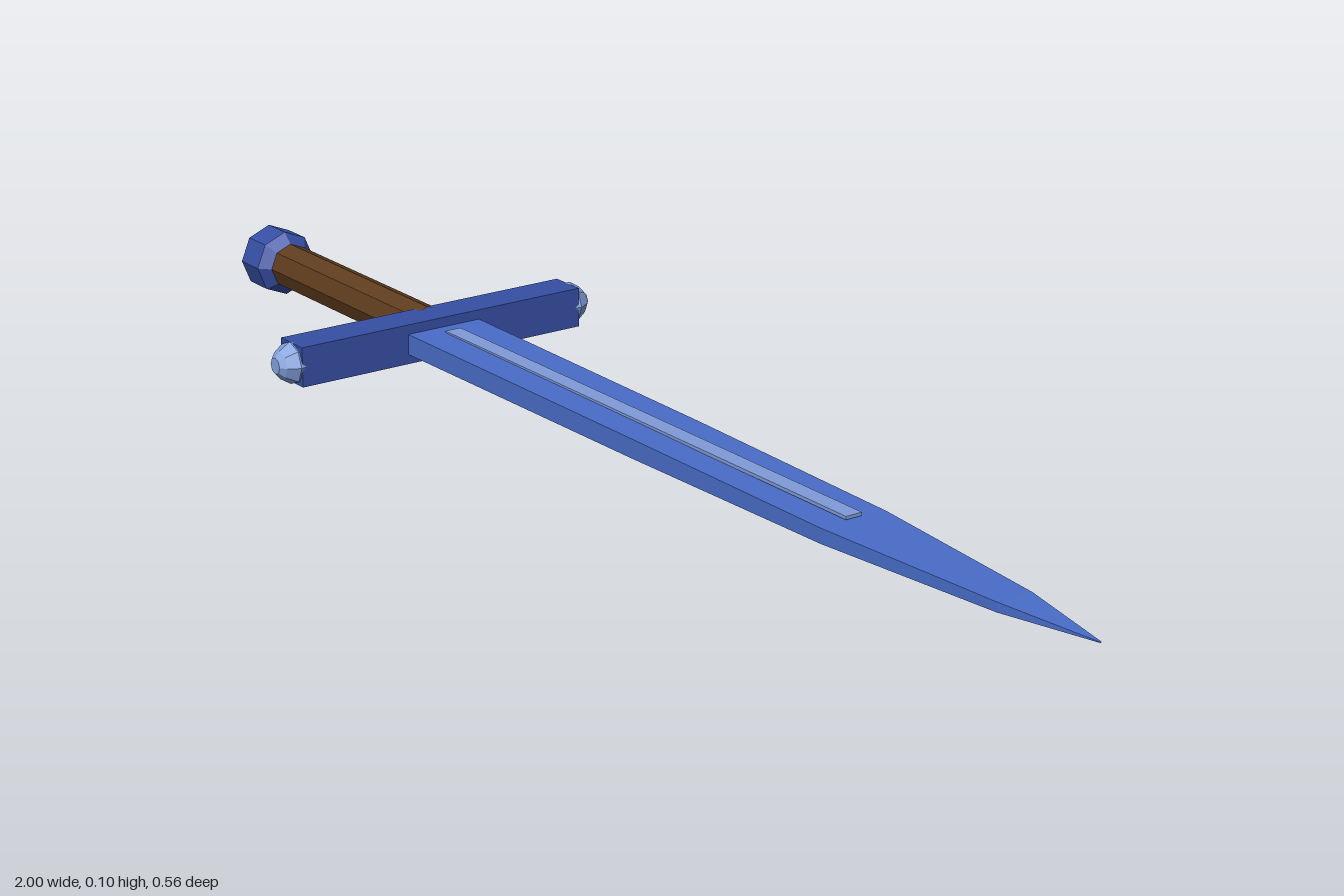
import * as THREE from 'three';

const paint = (name, color) => {
  const m = new THREE.MeshStandardMaterial({ color });
  m.name = name;
  return m;
};

// Give every face its own flat normal
function faceted(geo) {
  const g = geo.index ? geo.toNonIndexed() : geo;
  g.computeVertexNormals();
  return g;
}

// Faceted solid of revolution from [distance along axis, radius] pairs, axis = y
const turned = (profile, sides) =>
  new THREE.LatheGeometry(profile.map(([d, r]) => new THREE.Vector2(r, d)), sides);

// Tapering bar of rectangular sections [x, half height, half width]
function taperedBar(sections) {
  const corners = ([x, h, w]) => [[x, -h, w], [x, -h, -w], [x, h, -w], [x, h, w]];
  const rings = sections.map(corners);
  const pos = [];
  const quad = (a, b, c, d) => pos.push(...a, ...b, ...c, ...a, ...c, ...d);
  for (let i = 0; i < rings.length - 1; i++) {
    for (let k = 0; k < 4; k++) {
      const n = (k + 1) % 4;
      quad(rings[i][k], rings[i][n], rings[i + 1][n], rings[i + 1][k]);
    }
  }
  const s = rings[0];
  quad(s[3], s[2], s[1], s[0]);
  const g = new THREE.BufferGeometry();
  g.setAttribute('position', new THREE.Float32BufferAttribute(pos, 3));
  return g;
}

export function createModel() {
  const bladeBlue = paint('bladeBlue', 0x486cc8);
  const guardBlue = paint('guardBlue', 0x364fa4);
  const capBlue = paint('capBlue', 0x83a2dc);
  const inlayBlue = paint('inlayBlue', 0x7f9bd8);
  const gripBrown = paint('gripBrown', 0x5f3c1e);

  const sword = new THREE.Group();
  sword.name = 'sword';
  sword.position.y = 0.053;
  const add = (name, geo, mat) => {
    const mesh = new THREE.Mesh(faceted(geo), mat);
    mesh.name = name;
    sword.add(mesh);
    return mesh;
  };

  // Blade narrowing to a point
  add('blade', taperedBar([
    [-0.47, 0.016, 0.064],
    [0.1, 0.0145, 0.06],
    [0.52, 0.011, 0.055],
    [0.84, 0.007, 0.029],
    [1, 0.0005, 0.001],
  ]), bladeBlue);

  // Raised strip on both flats of the blade
  for (const side of [1, -1]) {
    add(side > 0 ? 'upperInlay' : 'lowerInlay',
      new THREE.BoxGeometry(0.96, 0.005, 0.027), inlayBlue).position.set(0.04, side * 0.016, 0);
  }

  // Crossguard with faceted end caps
  add('crossguard', new THREE.BoxGeometry(0.06, 0.062, 0.5), guardBlue).position.x = -0.495;
  const cap = [[0.235, 0.028], [0.253, 0.033], [0.271, 0.022], [0.279, 0.013], [0.279, 0]];
  for (const side of [1, -1]) {
    add(side > 0 ? 'frontCap' : 'backCap',
      turned(cap, 8).rotateX(side * Math.PI / 2), capBlue).position.x = -0.495;
  }

  // Eight-sided grip
  add('grip', turned([[-0.93, 0.036], [-0.51, 0.036]], 8).rotateZ(-Math.PI / 2), gripBrown);

  // Bevelled pommel
  add('pommel', turned([
    [-1, 0], [-1, 0.028], [-0.98, 0.052], [-0.93, 0.052], [-0.905, 0.028], [-0.905, 0],
  ], 8).rotateZ(-Math.PI / 2), guardBlue);

  const root = new THREE.Group();
  root.add(sword);
  return root;
}
